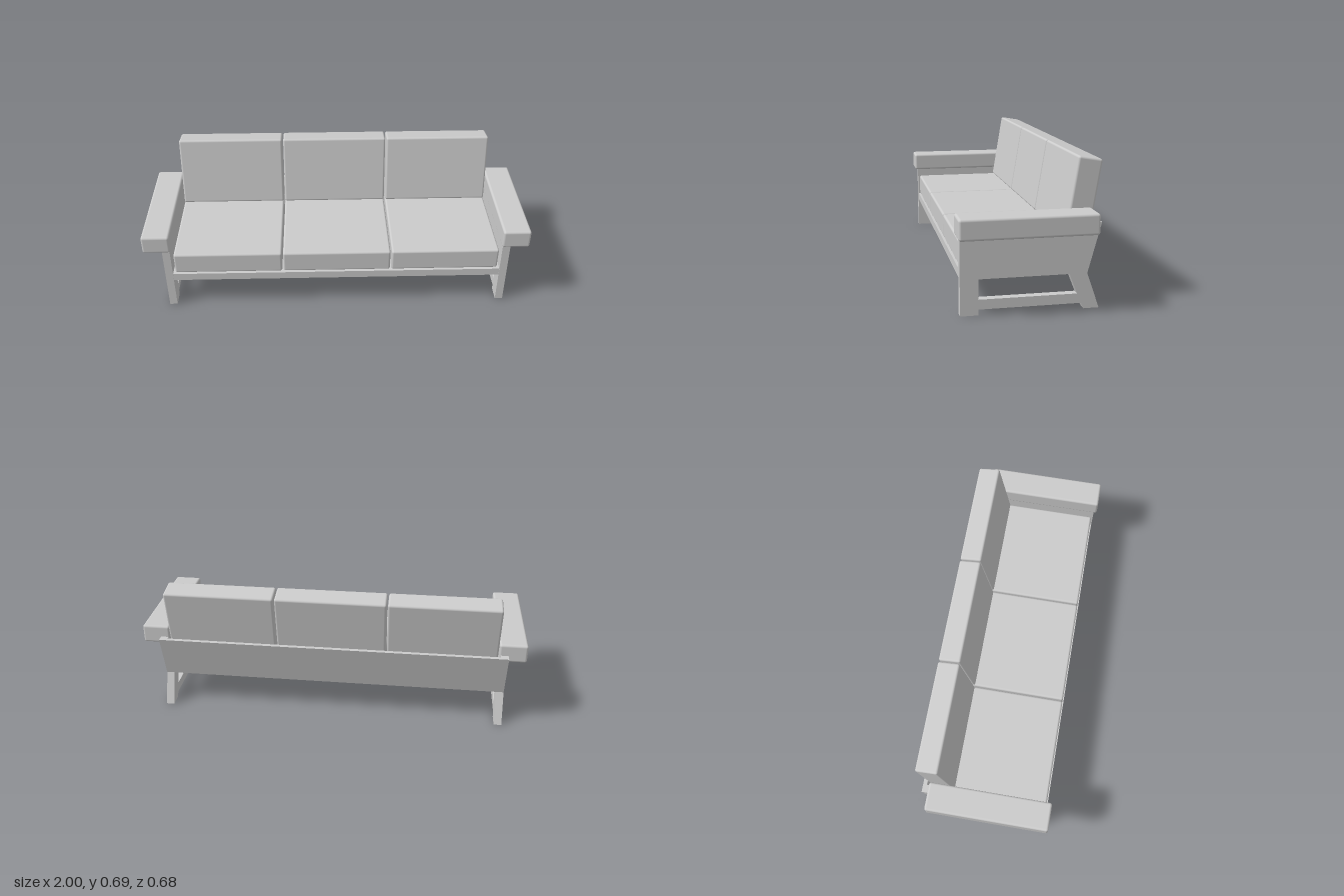
import * as THREE from 'three';
import { RoundedBoxGeometry } from 'three/addons/geometries/RoundedBoxGeometry.js';

const material = new THREE.MeshStandardMaterial({ color: 0xcccccc });
const points = (list) => list.map(([z, y]) => new THREE.Vector2(z, y));

// Extrudes a (z, y) side profile across x, centred on x = 0
function sideProfile(outline, width, hole) {
  const shape = new THREE.Shape(points(outline));
  if (hole) shape.holes.push(new THREE.Path(points(hole)));
  const geometry = new THREE.ExtrudeGeometry(shape, { depth: width, bevelEnabled: false });
  return geometry.translate(0, 0, -width / 2).rotateY(-Math.PI / 2);
}

export function createModel() {
  const sofa = new THREE.Group();
  sofa.name = 'sofa';

  function add(name, geometry, x, y, z) {
    const mesh = new THREE.Mesh(geometry, material);
    mesh.name = name;
    mesh.position.set(x, y, z);
    sofa.add(mesh);
    return mesh;
  }

  // End frames: solid panel above, legs and stretcher around an opening below
  const frame = sideProfile(
    [[0.324, 0], [0.324, 0.402], [-0.324, 0.402], [-0.26, 0.167], [-0.318, 0],
      [-0.245, 0], [-0.233, 0.027], [0.241, 0.027], [0.241, 0]],
    0.04,
    [[0.241, 0.073], [-0.214, 0.073], [-0.177, 0.167], [0.241, 0.167]]
  );
  const armrest = new RoundedBoxGeometry(0.143, 0.097, 0.628, 4, 0.012);
  for (const [side, sign] of [['left', 1], ['right', -1]]) {
    add(side + 'Frame', frame, sign * 0.885, 0, 0);
    add(side + 'Armrest', armrest, sign * 0.9285, 0.4135, 0.027);
  }

  // Seat deck and sloping back board
  add('seatDeckAndBackBoard', sideProfile(
    [[0.322, 0.167], [0.322, 0.208], [-0.251, 0.208], [-0.304, 0.402],
      [-0.324, 0.402], [-0.26, 0.167]],
    1.73
  ), 0, 0, 0);

  // Three seat cushions with leaning back cushions
  const seat = new RoundedBoxGeometry(0.564, 0.117, 0.565, 4, 0.011);
  const back = new RoundedBoxGeometry(0.564, 0.374, 0.115, 4, 0.011);
  for (const [i, place] of ['right', 'middle', 'left'].entries()) {
    const x = (i - 1) * 0.571;
    add(place + 'SeatCushion', seat, x, 0.2685, 0.0325);
    add(place + 'BackCushion', back, x, 0.502, -0.253).rotation.x = -0.163;
  }

  return sofa;
}
